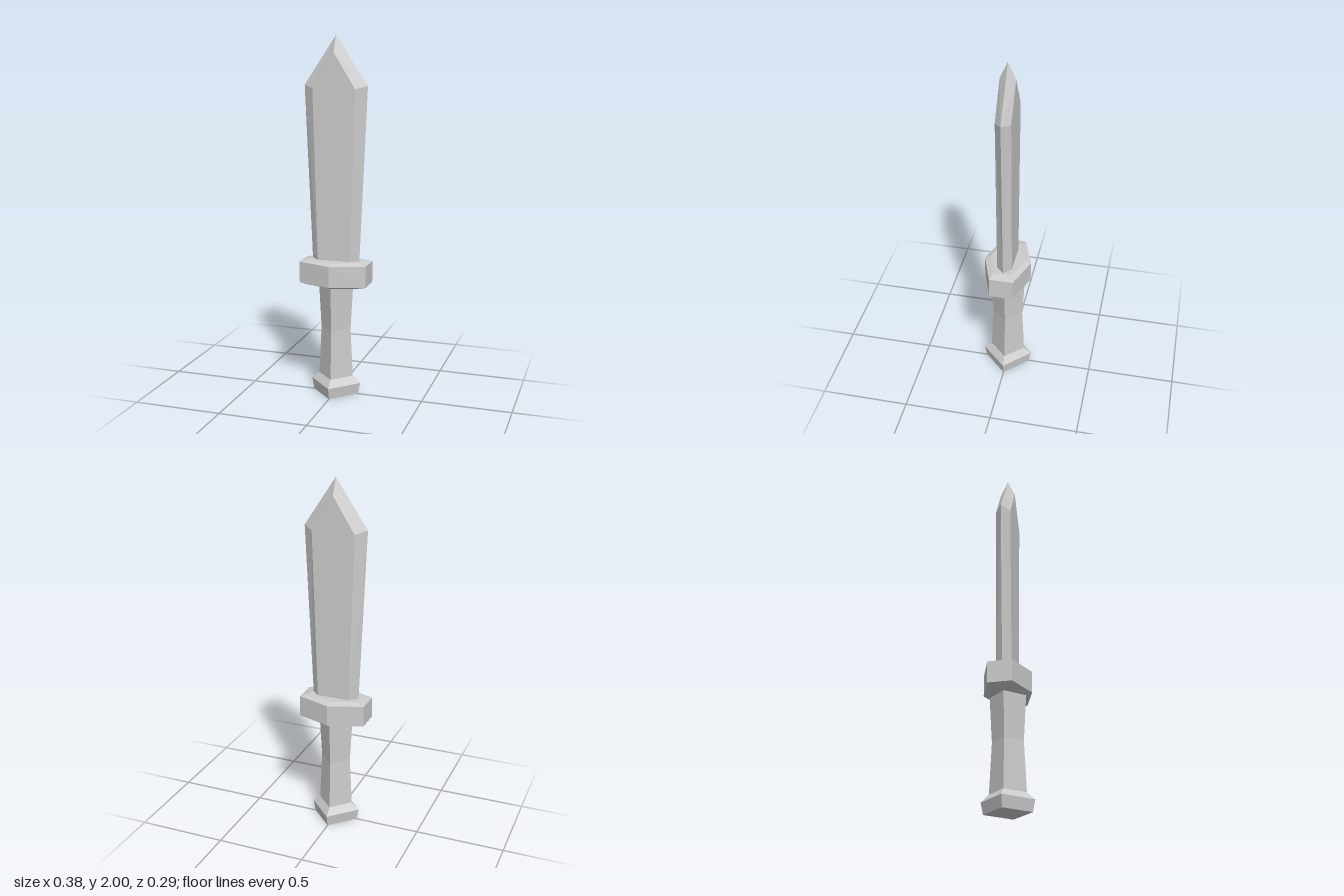
import * as THREE from 'three';

const material = new THREE.MeshStandardMaterial({ color: 0xcccccc, flatShading: true });

function addPart(group, name, geometry) {
  const flat = geometry.index ? geometry.toNonIndexed() : geometry;
  flat.computeVertexNormals();
  const mesh = new THREE.Mesh(flat, material);
  mesh.name = name;
  group.add(mesh);
  return mesh;
}

// Faceted solid turned from a [radius, y] profile, listed bottom to top
function faceted(profile, sides) {
  return new THREE.LatheGeometry(profile.map(([r, y]) => new THREE.Vector2(r, y)), sides);
}

// Flat-faced blade with a bevelled rim running to a sharp edge
function bladeGeometry() {
  const z = 0.042;
  const edge = [[0.135, 0.765], [0.178, 1.735], [0, 2], [-0.178, 1.735], [-0.135, 0.765]];
  const flat = [[0.092, 0.765], [0.12, 1.717], [0, 1.91], [-0.12, 1.717], [-0.092, 0.765]];
  const pos = [];
  const tri = (side, a, b, c) => (side > 0 ? [a, b, c] : [a, c, b]).forEach((p) => pos.push(...p));
  for (const side of [1, -1]) {
    const rim = edge.map(([x, y]) => [x, y, 0]);
    const face = flat.map(([x, y]) => [x, y, side * z]);
    for (let i = 0; i < 4; i++) {
      tri(side, rim[i], rim[i + 1], face[i + 1]);
      tri(side, rim[i], face[i + 1], face[i]);
    }
    for (let i = 1; i < 4; i++) tri(side, face[0], face[i], face[i + 1]);
    // Half of the closed base
    tri(side, rim[0], face[0], face[4]);
    tri(side, rim[0], face[4], rim[4]);
  }
  const geometry = new THREE.BufferGeometry();
  geometry.setAttribute('position', new THREE.Float32BufferAttribute(pos, 3));
  return geometry;
}

export function createModel() {
  const model = new THREE.Group();
  model.name = 'dagger';

  addPart(model, 'blade', bladeGeometry());

  // Hexagonal guard, stretched sideways, with chamfered rims
  const guard = faceted([[0, 0.632], [0.1, 0.632], [0.133, 0.645], [0.133, 0.764], [0.1, 0.777], [0, 0.777]], 6);
  guard.scale(1.66, 1, 1);
  addPart(model, 'guard', guard);

  // Four-sided grip with a narrow waist, corners on the axes
  addPart(model, 'grip', faceted([[0.1, 0.1], [0.086, 0.38], [0.1, 0.634]], 4));

  // Four-sided pommel
  addPart(model, 'pommel', faceted([[0, 0], [0.13, 0], [0.143, 0.065], [0.1, 0.104], [0, 0.104]], 4));

  return model;
}
